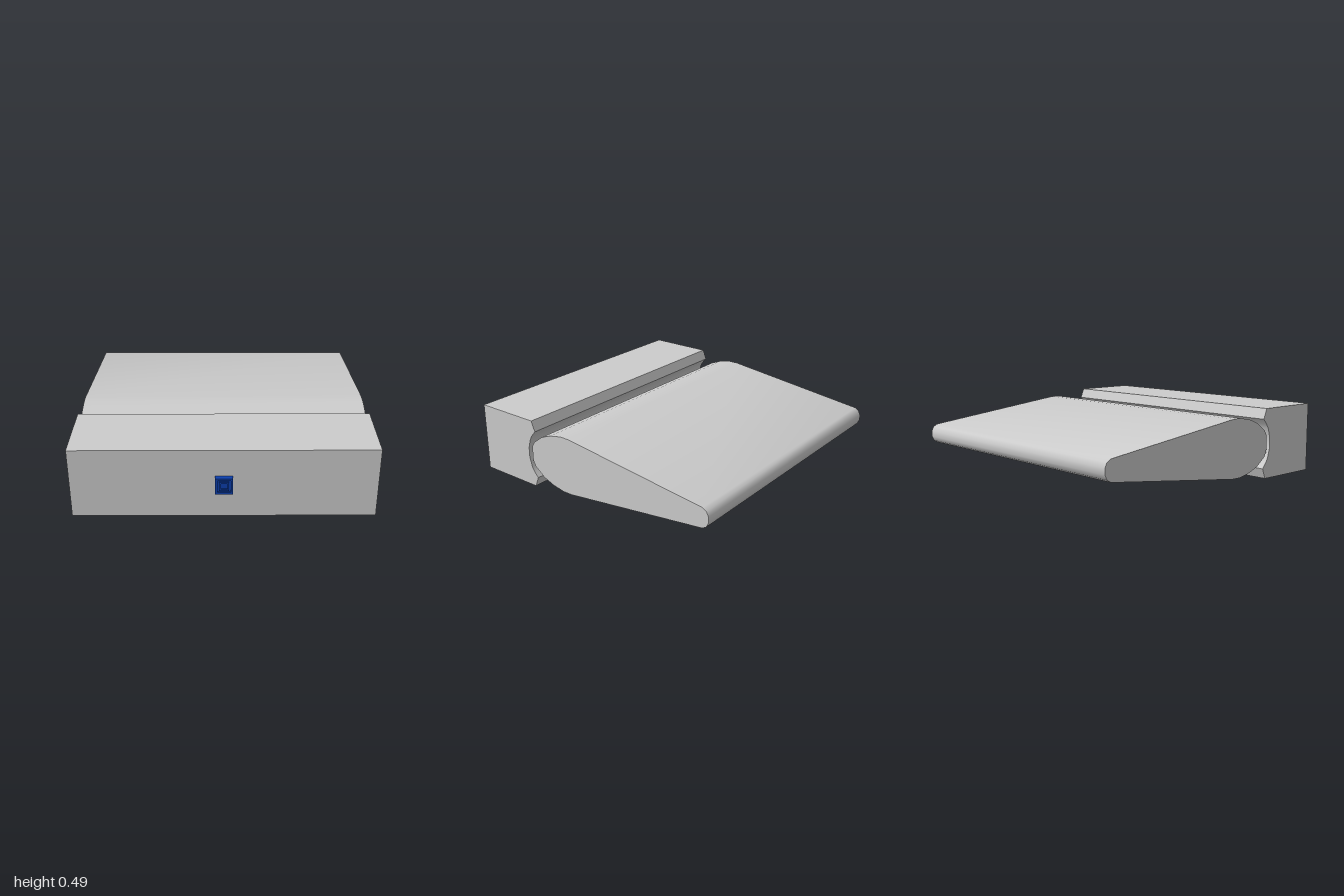
import * as THREE from 'three';
import { toCreasedNormals } from 'three/addons/utils/BufferGeometryUtils.js';

const WIDTH = 1.97;
const MID_Y = 0.245;

// Extrudes a profile, symmetric about MID_Y, across the full width.
// Points are [z, height above MID_Y], running from front to back.
function symmetricBar(name, upper, material) {
  const lower = upper.map(([z, h]) => [z, -h]).reverse();
  const points = [...upper, ...lower].map(([z, h]) => new THREE.Vector2(-z, MID_Y + h));
  const geometry = new THREE.ExtrudeGeometry(new THREE.Shape(points), {
    depth: WIDTH, bevelEnabled: false,
  });
  geometry.translate(0, 0, -WIDTH / 2);
  geometry.rotateY(Math.PI / 2);
  const mesh = new THREE.Mesh(toCreasedNormals(geometry, 0.6), material);
  mesh.name = name;
  return mesh;
}

// Square frame facing +z, with its back at the given z.
function squareFrame(name, size, hole, z, depth, material) {
  const square = (s, Type) => new Type([[-s, -s], [s, -s], [s, s], [-s, s]]
    .map(([x, y]) => new THREE.Vector2(x / 2, y / 2)));
  const shape = square(size, THREE.Shape);
  shape.holes.push(square(hole, THREE.Path));
  const mesh = new THREE.Mesh(
    new THREE.ExtrudeGeometry(shape, { depth, bevelEnabled: false }), material);
  mesh.position.set(0, 0, z);
  mesh.name = name;
  return mesh;
}

export function createModel() {
  const model = new THREE.Group();
  model.name = 'hingedFlap';
  const grey = new THREE.MeshStandardMaterial({ color: 0xcccccc });
  const blue = new THREE.MeshStandardMaterial({ color: 0x0c3fae });

  // Fixed block with a rounded groove along its rear face
  model.add(symmetricBar('fixedBlock', [
    [0.96, 0.245], [0.475, 0.245], [0.446, 0.173], [0.478, 0.136],
    [0.497, 0.105], [0.517, 0.036],
  ], grey));

  // Tapering flap with a rounded nose and a blunt trailing edge
  model.add(symmetricBar('flap', [
    [0.483, 0.036], [0.479, 0.06], [0.46, 0.092], [0.382, 0.15], [0.297, 0.183],
    [0.2, 0.202], [0.13, 0.202], [-0.955, 0.069], [-0.984, 0.052], [-1, 0.02],
  ], grey));

  // Small square button on the front face
  const button = new THREE.Group();
  button.name = 'button';
  button.position.set(0, 0.247, 0.96);
  const base = new THREE.Mesh(new THREE.BoxGeometry(0.114, 0.114, 0.03), blue);
  base.position.z = 0.015;
  base.name = 'buttonBase';
  button.add(base);
  button.add(squareFrame('buttonRim', 0.114, 0.084, 0.03, 0.01, blue));
  button.add(squareFrame('buttonInnerRing', 0.064, 0.04, 0.03, 0.008, blue));
  model.add(button);

  return model;
}
